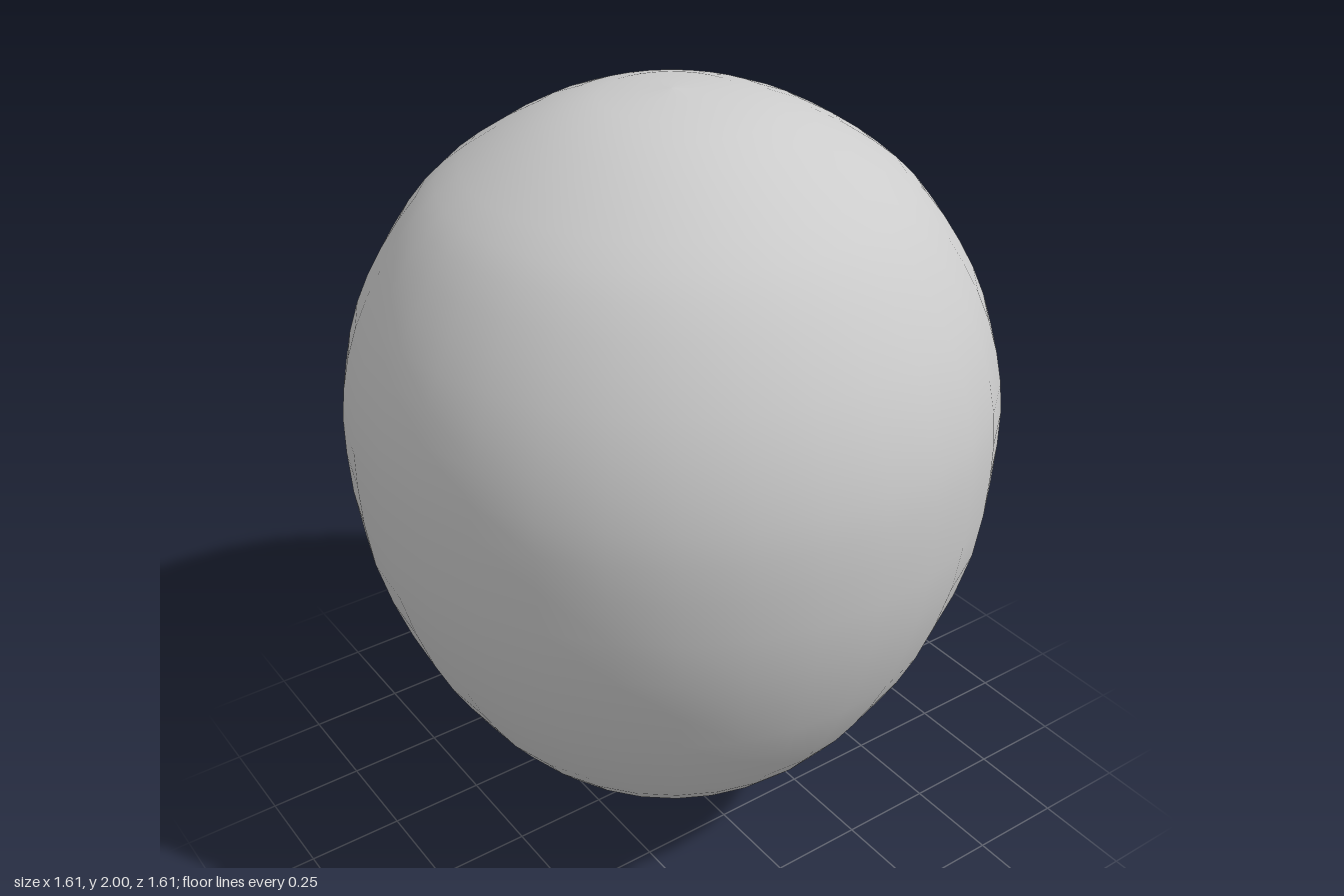
import * as THREE from 'three';

const material = new THREE.MeshStandardMaterial({ color: 0xcccccc });
const knotMaterial = new THREE.MeshStandardMaterial({
  color: 0xcccccc, flatShading: true, side: THREE.DoubleSide,
});

// Inflated envelope: smooth egg profile, narrower towards the bottom
function createEnvelope() {
  const profile = new THREE.SplineCurve([
    [0, 0.095], [0.2, 0.13], [0.39, 0.235], [0.52, 0.36], [0.62, 0.505],
    [0.71, 0.68], [0.785, 0.92], [0.807, 1.15], [0.798, 1.32], [0.755, 1.48],
    [0.685, 1.62], [0.595, 1.745], [0.49, 1.835], [0.33, 1.93], [0.17, 1.983], [0, 2],
  ].map(([r, y]) => new THREE.Vector2(r, y)));
  const points = profile.getPoints(30);
  points[0].x = points[30].x = 0;
  const mesh = new THREE.Mesh(new THREE.LatheGeometry(points, 32), material);
  mesh.name = 'balloonEnvelope';
  return mesh;
}

// Tied neck: small five-lobed flared skirt, hollow underneath
function createKnot() {
  const lobes = 5;
  const points = [[0, 0.03], [0.044, 0.004], [0.031, 0.05], [0.008, 0.098], [0, 0.1]]
    .map(([r, y]) => new THREE.Vector2(r, y));
  const geometry = new THREE.LatheGeometry(points, lobes * 2);
  const position = geometry.attributes.position;
  for (let i = 0; i < position.count; i++) {
    const x = position.getX(i), y = position.getY(i), z = position.getZ(i);
    // Pinch between the lobes, most strongly at the open rim
    const valley = 0.5 - 0.5 * Math.cos(lobes * Math.atan2(z, -x));
    const pinch = 1 - 0.35 * valley * (1 - y / 0.1);
    // Slight tilt of the rim
    position.setXYZ(i, x * pinch, y - x * 0.1 * (1 - y / 0.1), z * pinch);
  }
  geometry.computeVertexNormals();
  const mesh = new THREE.Mesh(geometry, knotMaterial);
  mesh.name = 'knot';
  mesh.position.x = -0.042;
  return mesh;
}

export function createModel() {
  const group = new THREE.Group();
  group.name = 'balloon';
  group.add(createEnvelope(), createKnot());
  return group;
}
